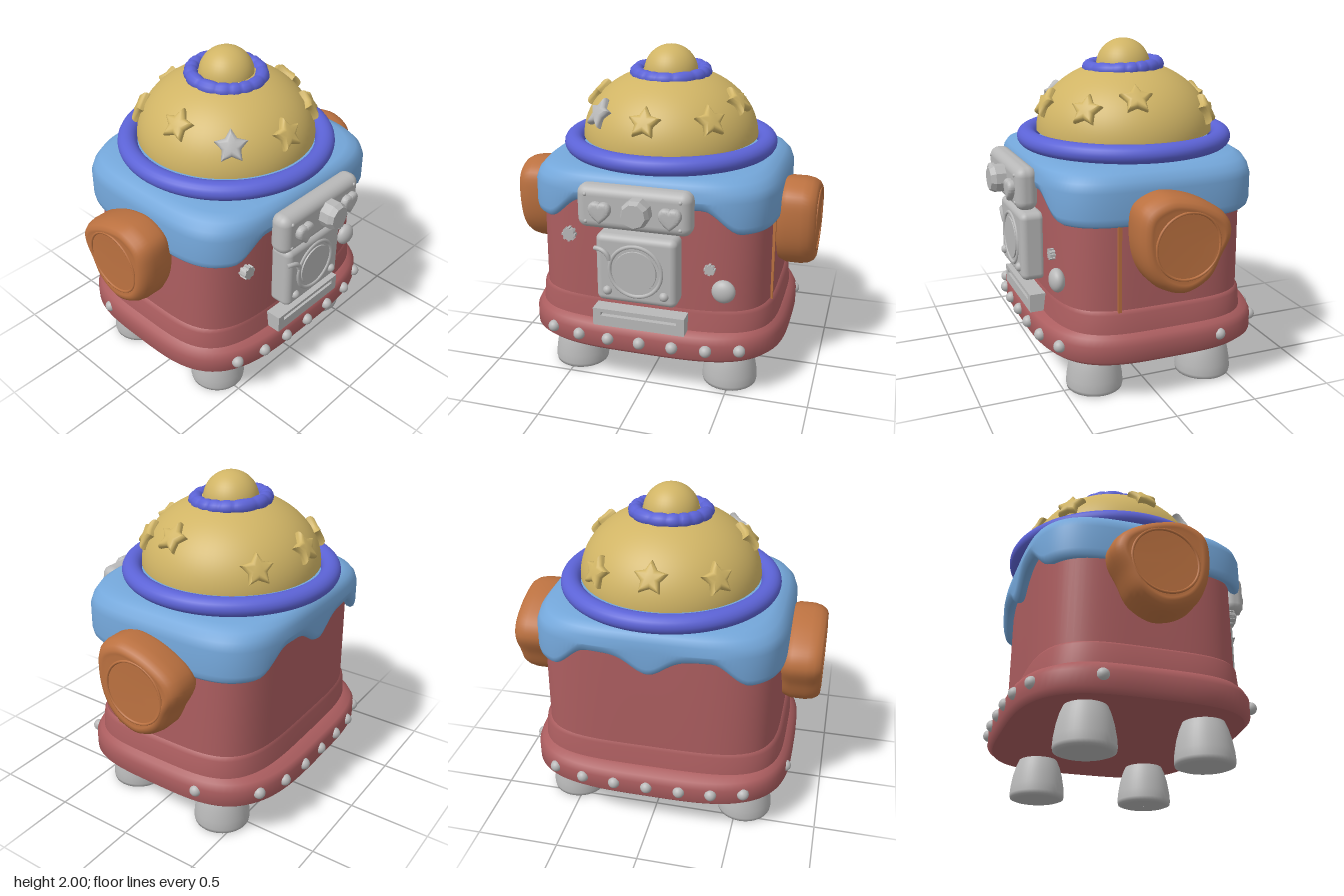
import * as THREE from 'three';
import { mergeVertices, toCreasedNormals } from 'three/addons/utils/BufferGeometryUtils.js';
import { RoundedBoxGeometry } from 'three/addons/geometries/RoundedBoxGeometry.js';

const mat = (name, color) => {
  const m = new THREE.MeshStandardMaterial({ color });
  m.name = name;
  return m;
};

// Smooth closed loft: point(i, t) gives ring i at turn fraction t
function loft(rings, segs, point, flip = false) {
  const pos = [], idx = [];
  for (let i = 0; i < rings; i++) for (let j = 0; j < segs; j++) pos.push(...point(i, j / segs));
  for (let i = 0; i < rings - 1; i++) for (let j = 0; j < segs; j++) {
    const k = (j + 1) % segs;
    const p0 = i * segs + j, p1 = i * segs + k, q0 = p0 + segs, q1 = p1 + segs;
    if (flip) idx.push(p0, p1, q0, q0, p1, q1);
    else idx.push(p0, q0, p1, q0, q1, p1);
  }
  const g = new THREE.BufferGeometry();
  g.setAttribute('position', new THREE.Float32BufferAttribute(pos, 3));
  g.setIndex(idx);
  g.computeVertexNormals();
  return g;
}

// Rounded-square outline: half sizes a and b, corner power n
function squircle(t, a, b, n) {
  const c = Math.cos(t * Math.PI * 2), s = Math.sin(t * Math.PI * 2);
  const r = (Math.abs(c) ** n + Math.abs(s) ** n) ** (-1 / n);
  return [a * r * c, b * r * s];
}

function extrude(shape, depth, bevel, crease = 0.8) {
  return toCreasedNormals(new THREE.ExtrudeGeometry(shape, {
    depth, bevelEnabled: bevel > 0, bevelSize: bevel, bevelThickness: bevel, bevelSegments: 4, curveSegments: 16,
  }), crease);
}

export function createModel() {
  const red = mat('red body', 0xab5d5f), blue = mat('sky blue', 0x74a7da), indigo = mat('indigo', 0x5c63d6);
  const gold = mat('gold', 0xd0b465), orange = mat('orange', 0xbb7140), grey = mat('grey', 0xb8b8b8);
  const model = new THREE.Group();
  const add = (name, geo, material, x = 0, y = 0, z = 0) => {
    const m = new THREE.Mesh(geo, material);
    m.name = name;
    m.position.set(x, y, z);
    model.add(m);
    return m;
  };
  const facing = (r1, r2, h, n) => new THREE.CylinderGeometry(r1, r2, h, n).rotateX(Math.PI / 2);

  // Body with flared base; repeated rows make creases. Row: y, half x, half z, centre z, corner power
  const rows = [
    [0.25, 0.001, 0.001, -0.07, 3.5], [0.25, 0.78, 0.66, -0.07, 3.5], [0.25, 0.78, 0.66, -0.07, 3.5],
    [0.28, 0.81, 0.69, -0.07, 3.5], [0.37, 0.81, 0.69, -0.07, 3.5], [0.41, 0.79, 0.67, -0.07, 3.5],
    [0.43, 0.76, 0.61, -0.06, 4], [0.43, 0.76, 0.61, -0.06, 4], [0.54, 0.748, 0.595, -0.06, 4.2],
    [0.56, 0.725, 0.588, -0.058, 4.2], [0.56, 0.725, 0.588, -0.058, 4.2], [1.15, 0.72, 0.585, -0.058, 4.2],
    [1.3, 0.7, 0.57, -0.058, 4.2],
  ];
  add('body', loft(rows.length, 128, (i, t) => {
    const [y, a, b, zc, n] = rows[i];
    const [x, z] = squircle(t, a, b, n);
    return [x, y, z + zc];
  }), red);

  // Dripping blue shoulder cover with a wavy lower edge
  const edge = x => 1.055 + 0.14 * (1 - THREE.MathUtils.smoothstep(Math.abs(x), 0.36, 0.58))
    - 0.11 * Math.exp(-((x / 0.13) ** 2));
  const cover = [ // height, half x, half z, corner power, follows edge
    [0.03, 0.705, 0.575, 4.2, 1], [0.005, 0.722, 0.6, 4.2, 1], [0, 0.733, 0.625, 4.2, 1], [0.015, 0.742, 0.645, 4.2, 1],
    [0.05, 0.747, 0.655, 4.2, 1], [1.25, 0.745, 0.655, 4.2, 0], [1.3, 0.73, 0.65, 4, 0], [1.34, 0.695, 0.635, 3.8, 0],
    [1.365, 0.64, 0.6, 3.5, 0], [1.37, 0.55, 0.52, 3, 0], [1.37, 0.001, 0.001, 2, 0],
  ];
  add('shoulderCover', loft(cover.length, 192, (i, t) => {
    const [h, a, b, n, low] = cover[i];
    const [x, z] = squircle(t, a, b, n);
    return [x, low ? edge(x) + h : h, z - 0.055];
  }), blue);

  // Dome, its rim, the crinkled collar and the top knob
  const cz = -0.08;
  const rim = new THREE.TorusGeometry(0.6, 0.06, 20, 96).rotateX(Math.PI / 2).scale(1, 0.92, 1);
  add('domeRim', rim, indigo, 0, 1.415, cz);
  add('dome', new THREE.SphereGeometry(1, 64, 24, 0, Math.PI * 2, 0, Math.PI / 2).scale(0.54, 0.42, 0.54), gold, 0, 1.45, cz);
  let collar = new THREE.TorusGeometry(0.207, 0.037, 12, 144);
  collar.deleteAttribute('uv');
  collar.deleteAttribute('normal');
  collar = mergeVertices(collar);
  const p = collar.attributes.position;
  for (let i = 0; i < p.count; i++) {
    const u = Math.atan2(p.getY(i), p.getX(i));
    const k = 0.98 + 0.22 * Math.sqrt(Math.abs(Math.sin(u * 8 + Math.sin(u * 3))));
    const cx = 0.207 * Math.cos(u), cy = 0.207 * Math.sin(u);
    p.setXYZ(i, cx + (p.getX(i) - cx) * k, cy + (p.getY(i) - cy) * k, p.getZ(i) * k);
  }
  collar.computeVertexNormals();
  add('knobCollar', collar.rotateX(Math.PI / 2 + 0.06), indigo, 0, 1.835, cz + 0.005);
  add('topKnob', new THREE.SphereGeometry(0.165, 40, 24), gold, 0, 1.835, -0.075);

  // Puffy stars lying on the dome
  const star = new THREE.Shape();
  for (let i = 0; i < 10; i++) {
    const r = i % 2 ? 0.026 : 0.065, a = Math.PI / 2 + i * Math.PI / 5;
    star[i ? 'lineTo' : 'moveTo'](r * Math.cos(a), r * Math.sin(a));
  }
  const starGeo = extrude(star, 0.01, 0.025, 1);
  const stars = [[-0.02, 0.41], [0.33, 0.28], [0.43, 0.02], [0.33, -0.47], [0, -0.57], [-0.34, -0.45], [-0.44, -0.02], [-0.33, 0.28]];
  stars.forEach(([x, z], i) => {
    const dz = z - cz;
    const dy = 0.42 * Math.sqrt(Math.max(0, 1 - (x * x + dz * dz) / 0.2916));
    const m = add('star', starGeo, i === 7 ? grey : gold, x, 1.45 + dy, z);
    m.lookAt(x + x / 0.2916, 1.45 + dy + dy / 0.1764, z + dz / 0.2916);
  });

  // Rounded three-cornered side pods with a ringed face. Points: z, y
  const outline = new THREE.CatmullRomCurve3([
    [-0.05, 1.25], [-0.2, 1.2], [-0.33, 1.11], [-0.36, 1.02], [-0.3, 0.89], [-0.23, 0.76], [-0.08, 0.685],
    [0.08, 0.74], [0.17, 0.86], [0.205, 1.05], [0.18, 1.19], [0.06, 1.255],
  ].map(([z, y]) => new THREE.Vector3(0, y, z)), true);
  const pod = [[0.69, 0.001], [0.69, 0.85], [0.73, 0.94], [0.77, 1], [0.86, 1], [0.905, 0.965], [0.935, 0.9],
    [0.947, 0.82], [0.947, 0.76], [0.942, 0.7], [0.942, 0.001]];
  for (const s of [1, -1]) {
    add('sidePod', loft(pod.length, 72, (i, t) => {
      const q = outline.getPoint(t), [x, k] = pod[i];
      return [s * x, 0.975 + (q.y - 0.975) * k, -0.075 + (q.z + 0.075) * k];
    }, s < 0), orange);
    add('podRing', new THREE.TorusGeometry(0.19, 0.008, 8, 56).rotateY(Math.PI / 2), orange, s * 0.942, 0.975, -0.075);
  }
  add('sideSeam', new THREE.BoxGeometry(0.03, 0.51, 0.022), orange, 0.712, 0.805, 0.235);

  // Feet
  const foot = new THREE.LatheGeometry([[0.001, 0], [0.145, 0], [0.166, 0.008], [0.17, 0.03], [0.166, 0.08], [0.154, 0.15], [0.137, 0.21], [0.12, 0.25], [0.1, 0.3]]
    .map(([x, y]) => new THREE.Vector2(x, y)), 40);
  for (const s of [1, -1]) {
    add('frontFoot', foot, grey, s * 0.49, 0, 0.305);
    add('rearFoot', foot, grey, s * 0.545, 0, -0.39);
  }

  // Rivets round the base
  const rivet = new THREE.SphereGeometry(0.036, 20, 14);
  for (const x of [-0.57, -0.385, -0.197, 0, 0.2, 0.4, 0.59]) for (const s of [1, -1]) {
    const z = 0.69 * (1 - Math.abs(x / 0.81) ** 3.5) ** (1 / 3.5);
    add('rivet', rivet, grey, x, 0.34, s * z - 0.065);
  }
  for (const s of [1, -1]) add('rivet', rivet, grey, s * 0.785, 0.345, -0.37);

  // Upper control bar with two hearts and a faceted dial
  add('controlBar', new RoundedBoxGeometry(0.67, 0.255, 0.13, 4, 0.055), grey, -0.005, 1.2, 0.635);
  const heart = new THREE.Shape();
  heart.moveTo(0, -0.045);
  heart.bezierCurveTo(-0.03, -0.02, -0.05, 0, -0.045, 0.02);
  heart.bezierCurveTo(-0.04, 0.04, -0.01, 0.04, 0, 0.02);
  heart.bezierCurveTo(0.01, 0.04, 0.04, 0.04, 0.045, 0.02);
  heart.bezierCurveTo(0.05, 0, 0.03, -0.02, 0, -0.045);
  const heartGeo = extrude(heart, 0.025, 0.02);
  for (const x of [-0.19, 0.215]) add('heartButton', heartGeo, grey, x, 1.19, 0.692);
  add('dial', toCreasedNormals(facing(0.084, 0.084, 0.07, 9), 0.3), grey, 0.03, 1.21, 0.725);
  add('dialFace', toCreasedNormals(facing(0.068, 0.084, 0.03, 9), 0.3), grey, 0.03, 1.21, 0.775);
  for (const [x, y] of [[-0.28, 1.28], [0.27, 1.28], [-0.28, 1.12], [0.27, 1.12]])
    add('barScrew', new THREE.SphereGeometry(0.012, 12, 8), grey, x, y, 0.695);

  // Centre box with round speaker
  add('speakerBox', new RoundedBoxGeometry(0.485, 0.42, 0.15, 4, 0.04), grey, -0.005, 0.82, 0.583);
  add('speakerRing', new THREE.TorusGeometry(0.155, 0.012, 10, 56), grey, -0.005, 0.82, 0.656);
  add('speakerDisc', facing(0.125, 0.13, 0.02, 48), grey, -0.005, 0.82, 0.656);
  for (const x of [-0.175, 0.165]) add('speakerScrew', new THREE.SphereGeometry(0.028, 16, 12), grey, x, 0.685, 0.655);
  const hook = new THREE.QuadraticBezierCurve3(
    new THREE.Vector3(-0.25, 0.94, 0.65), new THREE.Vector3(-0.17, 0.95, 0.675), new THREE.Vector3(-0.16, 0.88, 0.66));
  add('speakerHook', new THREE.TubeGeometry(hook, 12, 0.014, 8), grey);

  // Slot at the bottom of the front
  const frame = new THREE.Shape();
  frame.moveTo(-0.283, -0.055);
  frame.lineTo(0.277, -0.055);
  frame.lineTo(0.277, 0.055);
  frame.lineTo(-0.283, 0.055);
  const hole = new THREE.Path();
  hole.moveTo(-0.235, 0.01);
  hole.lineTo(-0.235, 0.035);
  hole.lineTo(0.23, 0.035);
  hole.lineTo(0.23, 0.01);
  frame.holes.push(hole);
  add('slotFrame', extrude(frame, 0.1, 0), grey, 0, 0.485, 0.53);
  add('slotBack', new THREE.BoxGeometry(0.5, 0.06, 0.06), grey, 0, 0.505, 0.57);

  // Front button and two small cogs
  add('roundButton', new THREE.SphereGeometry(0.07, 32, 20).scale(1, 1, 0.65), grey, 0.483, 0.7, 0.525);
  for (const [x, y, r] of [[-0.455, 0.955, 0.036], [0.4, 0.83, 0.026]]) {
    add('cog', facing(r, r, 0.05, 20), grey, x, y, 0.52);
    for (let i = 0; i < 8; i++) {
      const a = i * Math.PI / 4;
      add('cogTooth', new THREE.BoxGeometry(0.014, 0.014, 0.05), grey, x + r * Math.cos(a), y + r * Math.sin(a), 0.52).rotation.z = a;
    }
  }
  return model;
}
